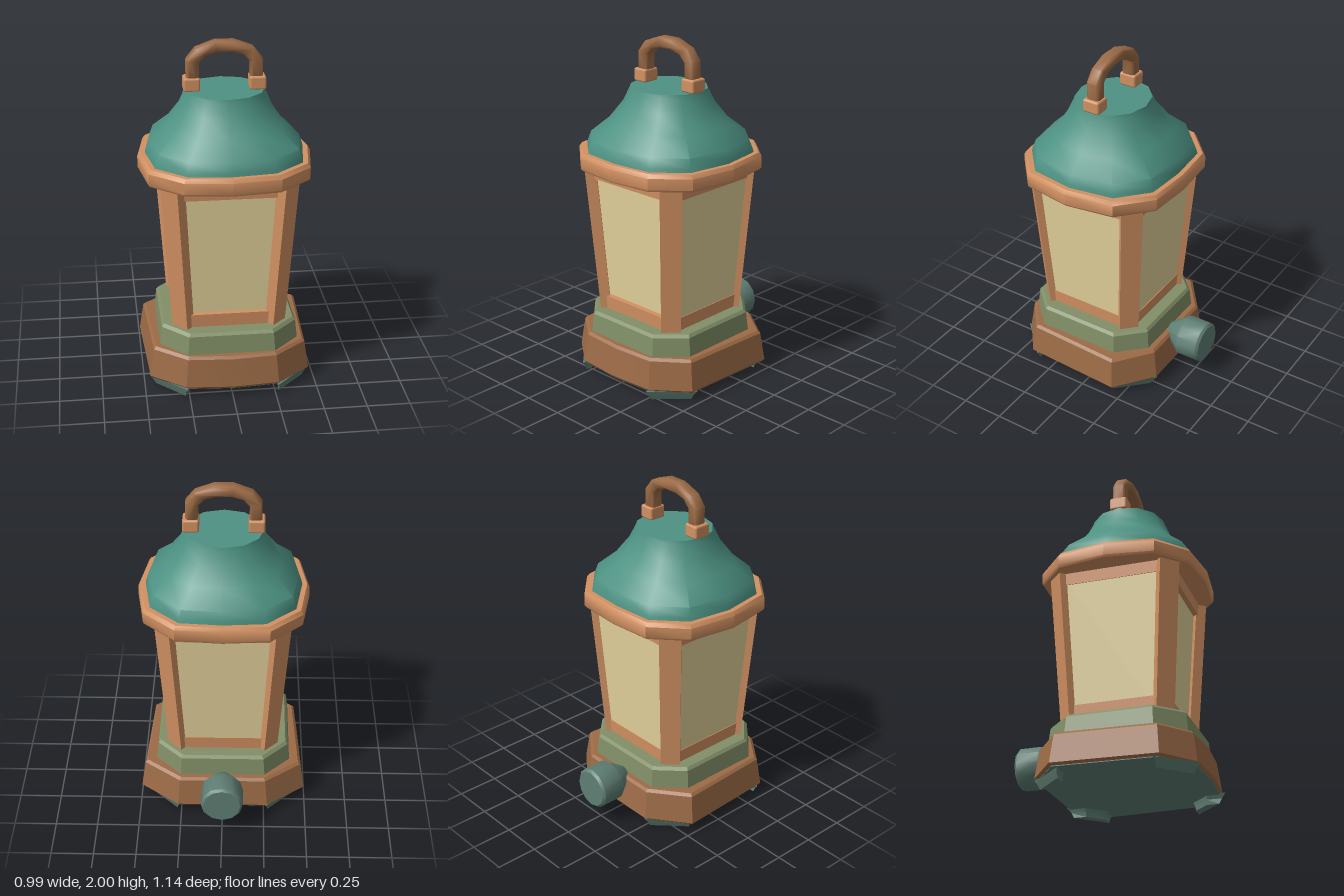
import * as THREE from 'three';
import { toCreasedNormals } from 'three/addons/utils/BufferGeometryUtils.js';
import { RoundedBoxGeometry } from 'three/addons/geometries/RoundedBoxGeometry.js';

// Skin stacked cross-sections; each section is [y, [[x, z], ...]], closed at both ends
function loft(sections, crease) {
  const n = sections[0][1].length, pos = [], idx = [];
  for (const [y, pts] of sections) for (const [x, z] of pts) pos.push(x, y, z);
  for (let s = 0; s < sections.length - 1; s++) {
    for (let i = 0; i < n; i++) {
      const a = s * n + i, b = s * n + (i + 1) % n;
      idx.push(a, a + n, b + n, a, b + n, b);
    }
  }
  const last = (sections.length - 1) * n;
  for (let i = 1; i < n - 1; i++) {
    idx.push(0, i, i + 1, last, last + i + 1, last + i);
  }
  const g = new THREE.BufferGeometry();
  g.setAttribute('position', new THREE.Float32BufferAttribute(pos, 3));
  g.setIndex(idx);
  return toCreasedNormals(g, crease);
}

// Scale an outline in x and z
const scaled = (pts, sx, sz = sx) => pts.map(([x, z]) => [x * sx, z * sz]);
// Square of half-width h with cut corners starting at c, and its own front distance f
const cutSquare = (h, c, f = h) => [[h, -c], [h, c], [c, f], [-c, f], [-h, c], [-h, -c], [-c, -h], [c, -h]];

// Outlines, ordered from +x towards +z
const baseOutline = [[0.497, -0.30], [0.467, 0.30], [0.27, 0.455], [0, 0.475], [-0.27, 0.455],
  [-0.467, 0.30], [-0.497, -0.30], [-0.27, -0.472], [0.27, -0.472]];
const plinthOutline = cutSquare(0.4, 0.25);
const rimOutline = [[0.497, 0], [0.452, 0.286], [0.267, 0.445], [0, 0.475], [-0.267, 0.445], [-0.452, 0.286],
  [-0.497, 0], [-0.452, -0.286], [-0.267, -0.455], [0, -0.475], [0.267, -0.455], [0.452, -0.286]];
const capOutline = Array.from({ length: 12 }, (_, i) => {
  const t = i * Math.PI / 6;
  return [0.23 * Math.cos(t), 0.215 * Math.sin(t)];
});

export function createModel() {
  const colour = (name, hex) => {
    const m = new THREE.MeshStandardMaterial({ color: hex });
    m.name = name;
    return m;
  };
  const copper = colour('copper', 0xd29162);
  const brown = colour('brown', 0x9c6b46);
  const teal = colour('teal', 0x4d9283);
  const green = colour('sage green', 0x818f67);
  const slate = colour('slate teal', 0x5f7f74);
  const glass = colour('pale glass', 0xe4d39c);

  const model = new THREE.Group();
  model.name = 'lantern';
  const lamp = new THREE.Group();
  lamp.name = 'lampBody';
  lamp.position.z = 0.09;
  model.add(lamp);
  const add = (name, geometry, material, parent = lamp) => {
    const mesh = new THREE.Mesh(geometry, material);
    mesh.name = name;
    parent.add(mesh);
    return mesh;
  };

  // Base, its dark underside and the plinth
  add('base', loft([[0.055, 0.98], [0.068, 1], [0.235, 0.95], [0.25, 0.92]]
    .map(([y, s]) => [y, scaled(baseOutline, s)]), 0.3), brown);
  add('underside', loft([[0.05, scaled(baseOutline, 0.97)], [0.056, scaled(baseOutline, 0.97)]], 0.2), slate);
  add('plinth', loft([[0.245, 1.01], [0.36, 0.98], [0.377, 0.945]]
    .map(([y, s]) => [y, scaled(plinthOutline, s)]), 0.3), green);

  // Feet under the four cut corners, narrowing inwards and downwards
  const footRing = (out, lOut, inn, lIn) => [[out, -lOut], [out, lOut], [inn, lIn], [inn, -lIn]];
  const footGeometry = loft([
    [0, footRing(0.5, 0.115, 0.45, 0.06)],
    [0.03, footRing(0.512, 0.125, 0.447, 0.065)],
    [0.06, footRing(0.522, 0.15, 0.44, 0.08)],
  ], 0.2);
  for (const sx of [1, -1]) for (const sz of [1, -1]) {
    add('foot', footGeometry, slate).rotation.y = Math.atan2(-sz, sx);
  }

  // Glass core, recessed at the front, with rails around its bottom and top
  add('glassPanels', loft([[0.38, cutSquare(0.303, 0.235, 0.27)], [1.25, cutSquare(0.358, 0.285, 0.32)]], 0.2), glass);
  add('bottomRail', loft([[0.37, cutSquare(0.307, 0.235, 0.302)], [0.457, cutSquare(0.312, 0.239, 0.307)]], 0.2), copper);
  add('topRail', loft([[1.188, cutSquare(0.358, 0.28, 0.347)], [1.27, cutSquare(0.363, 0.284, 0.352)]], 0.2), copper);

  // Corner posts, leaning outwards
  const postGeometry = loft([
    [0.37, [[0.33, 0.25], [0.25, 0.33], [0.207, 0.287], [0.287, 0.207]]],
    [1.27, [[0.39, 0.302], [0.302, 0.39], [0.255, 0.343], [0.343, 0.255]]],
  ], 0.2);
  for (let k = 0; k < 4; k++) add('cornerPost', postGeometry, copper).rotation.y = k * Math.PI / 2;

  // Rim and domed roof
  add('rim', loft([[1.258, 0.985], [1.27, 1], [1.335, 1], [1.357, 0.97]]
    .map(([y, s]) => [y, scaled(rimOutline, s)]), 0.6), copper);
  const roofOutline = scaled(rimOutline, 0.915, 0.915);
  const blend = (t) => roofOutline.map(([x, z], i) =>
    [THREE.MathUtils.lerp(x, capOutline[i][0], t), THREE.MathUtils.lerp(z, capOutline[i][1], t)]);
  add('roof', loft([[1.35, 0], [1.375, 0.02], [1.43, 0.1], [1.52, 0.52], [1.62, 0.82], [1.7, 0.97], [1.722, 1]]
    .map(([y, t]) => [y, blend(t)]), 0.75), teal);

  // Arched handle and its sockets
  const outer = [[0.203, 1.78], [0.203, 1.89], [0.155, 1.95], [0.052, 1.988]];
  const inner = [[0.045, 1.949], [0.113, 1.93], [0.156, 1.885], [0.156, 1.78]];
  const mirror = (pts) => pts.map(([x, y]) => [-x, y]).reverse();
  const arch = new THREE.Shape([...outer, ...mirror(outer), ...mirror(inner), ...inner]
    .map(([x, y]) => new THREE.Vector2(x, y)));
  const handle = new THREE.ExtrudeGeometry(arch,
    { depth: 0.056, bevelEnabled: true, bevelThickness: 0.012, bevelSize: 0.012, bevelSegments: 1 });
  handle.translate(0, 0, -0.028);
  add('handle', toCreasedNormals(handle, 0.9), brown);
  for (const s of [1, -1]) {
    add('handleSocket', new RoundedBoxGeometry(0.094, 0.078, 0.105, 1, 0.012), copper)
      .position.set(s * 0.186, 1.758, 0);
  }

  // Knob at the back
  const profile = [[0, 0], [0.05, 0], [0.124, 0.105], [0.124, 0.235], [0.11, 0.25], [0, 0.25]]
    .map(([r, h]) => new THREE.Vector2(r, h));
  const knob = add('knob', toCreasedNormals(new THREE.LatheGeometry(profile, 12), 0.6), slate, model);
  knob.rotation.x = -Math.PI / 2;
  knob.position.set(0, 0.225, -0.32);
  return model;
}
